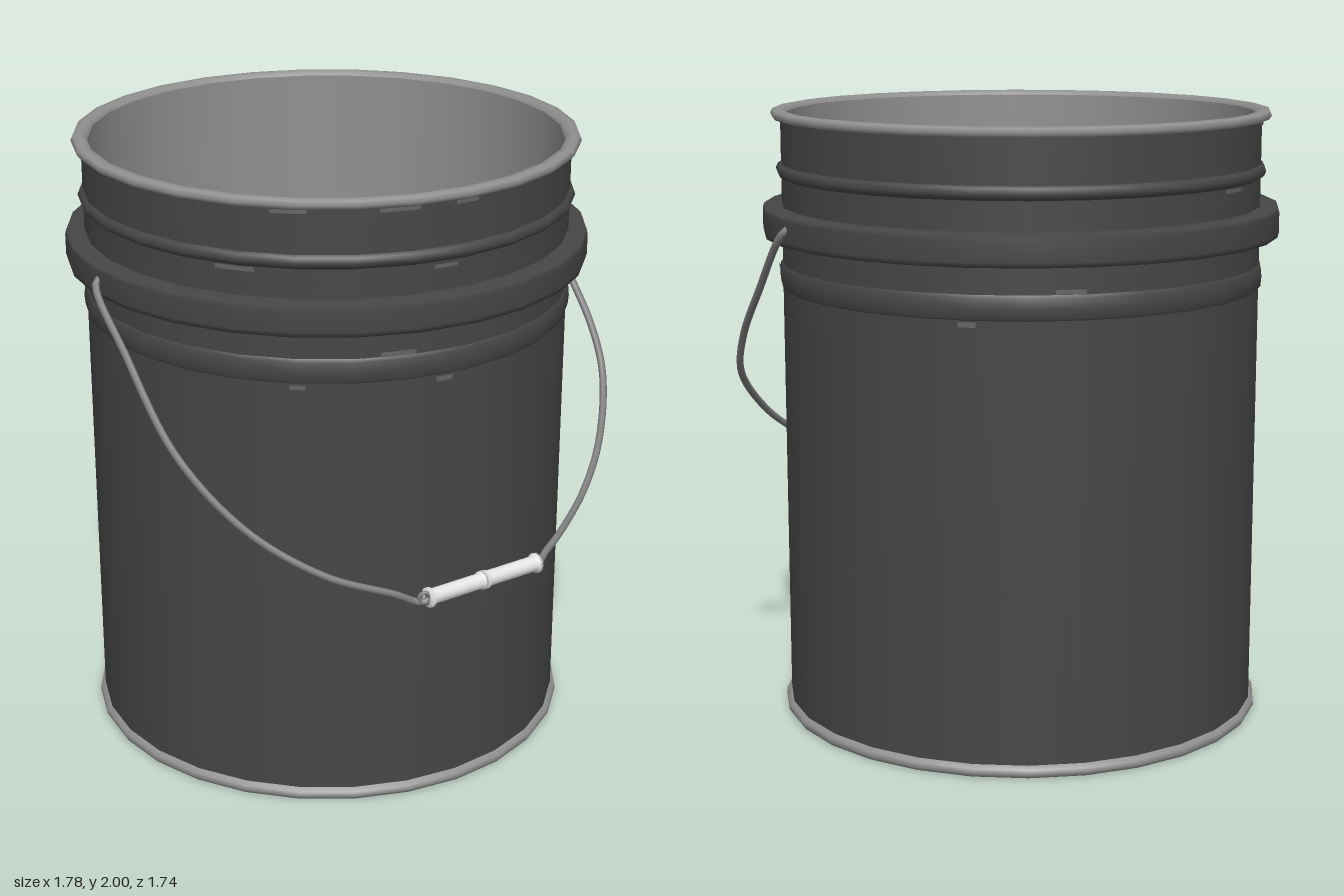
import * as THREE from 'three';

const SIDES = 28;

function material(name, color, side = THREE.FrontSide) {
  const m = new THREE.MeshStandardMaterial({ color, side });
  m.name = name;
  return m;
}

export function createModel() {
  const model = new THREE.Group();
  model.name = 'bucket';
  const paint = material('dark paint', 0x464646);
  const steel = material('bare steel', 0x909090);
  const scuff = material('scuffed paint', 0x646464, THREE.DoubleSide);
  const wire = material('handle wire', 0x7c7c7c);
  const white = material('white grip', 0xe4e4e4);

  // The pail sits slightly off centre because the handle hangs to one side
  const pail = new THREE.Group();
  pail.name = 'pail';
  pail.position.set(-0.05, 0, -0.03);
  model.add(pail);

  // Surface of revolution from [radius, height] pairs
  const lathe = (name, mat, profile) => {
    const pts = profile.map(([r, y]) => new THREE.Vector2(r, y));
    const mesh = new THREE.Mesh(new THREE.LatheGeometry(pts, SIDES), mat);
    mesh.name = name;
    pail.add(mesh);
  };

  // Outer shell
  lathe('base', paint, [[0, 0.005], [0.785, 0.005]]);
  lathe('bottomLip', steel, [[0.775, 0], [0.79, 0.003], [0.797, 0.015], [0.795, 0.03], [0.78, 0.04]]);
  lathe('wall', paint, [[0.78, 0.035], [0.78, 1.43]]);
  lathe('lowerBead', paint, [[0.778, 1.425], [0.787, 1.435], [0.79, 1.465], [0.787, 1.495], [0.78, 1.505]]);
  lathe('lowerNeck', paint, [[0.78, 1.5], [0.78, 1.6]]);
  lathe('bailRing', paint, [[0.775, 1.593], [0.838, 1.594], [0.842, 1.61], [0.842, 1.675], [0.838, 1.69], [0.775, 1.692]]);
  lathe('upperNeck', paint, [[0.78, 1.69], [0.78, 1.8]]);
  lathe('upperBead', paint, [[0.778, 1.782], [0.79, 1.79], [0.797, 1.805], [0.79, 1.82], [0.778, 1.828]]);
  lathe('collar', paint, [[0.78, 1.82], [0.78, 1.975]]);

  // Rolled rim and bare interior
  lathe('rim', steel, [[0.778, 1.968], [0.802, 1.97], [0.811, 1.982], [0.805, 1.996], [0.785, 2], [0.765, 1.996], [0.758, 1.98]]);
  lathe('innerWall', steel, [[0.758, 1.985], [0.758, 0.04]]);
  lathe('floor', steel, [[0.76, 0.04], [0, 0.04]]);

  // Worn patches beside the bands: [angle, height, radius, arc, tall]
  [
    [-0.25, 1.957, 0.782, 0.14, 0.012], [0.17, 1.957, 0.782, 0.16, 0.012], [0.45, 1.957, 0.782, 0.1, 0.012],
    [-0.46, 1.775, 0.782, 0.16, 0.014], [0.36, 1.77, 0.782, 0.1, 0.012], [0.17, 1.514, 0.782, 0.14, 0.016],
    [0.36, 1.415, 0.782, 0.07, 0.016], [-0.22, 1.415, 0.782, 0.06, 0.014],
    [1.7, 1.498, 0.789, 0.1, 0.014], [1.5, 1.775, 0.782, 0.13, 0.012], [1.25, 1.957, 0.782, 0.15, 0.012],
    [2.9, 1.415, 0.782, 0.07, 0.016], [3.3, 1.514, 0.782, 0.12, 0.014], [4.1, 1.775, 0.782, 0.13, 0.012],
    [4.5, 1.957, 0.782, 0.15, 0.012],
  ].forEach(([angle, y, r, arc, tall]) => {
    const geo = new THREE.CylinderGeometry(r, r, tall, 4, 1, true, angle - arc / 2, arc);
    const patch = new THREE.Mesh(geo, scuff);
    patch.name = 'scuff';
    patch.position.y = y;
    pail.add(patch);
  });

  // Wire bail, hanging out over the front left
  const handle = new THREE.Group();
  handle.name = 'handle';
  model.add(handle);
  const tube = (name, pts, segments) => {
    const curve = new THREE.CatmullRomCurve3(pts.map((p) => new THREE.Vector3(...p)));
    const mesh = new THREE.Mesh(new THREE.TubeGeometry(curve, segments, 0.012, 8), wire);
    mesh.name = name;
    handle.add(mesh);
  };
  tube('bailRight', [
    [-0.77, 1.66, 0.34], [-0.80, 1.64, 0.365], [-0.72, 1.46, 0.52], [-0.58, 1.2, 0.72], [-0.38, 0.99, 0.82],
    [-0.15, 0.85, 0.86], [0.07, 0.765, 0.838], [0.13, 0.732, 0.825], [0.155, 0.73, 0.828], [0.18, 0.745, 0.825],
  ], 64);
  tube('bailLeft', [
    [0.53, 0.745, 0.63], [0.555, 0.73, 0.605], [0.58, 0.745, 0.565], [0.64, 0.78, 0.5], [0.75, 0.86, 0.35],
    [0.83, 0.97, 0.2], [0.88, 1.13, 0], [0.86, 1.26, -0.1], [0.79, 1.44, -0.26], [0.70, 1.64, -0.42], [0.67, 1.66, -0.41],
  ], 64);

  // Two-piece grip with flared ends
  const a = new THREE.Vector3(0.165, 0.745, 0.828);
  const b = new THREE.Vector3(0.545, 0.745, 0.625);
  const dir = b.clone().sub(a).normalize();
  const h = a.distanceTo(b) / 2;
  const half = [[0.012, 0], [0.032, 0], [0.032, 0.012], [0.025, 0.02], [0.025, h - 0.02], [0.03, h - 0.01], [0.03, h - 0.002], [0.012, h - 0.002]];
  const gripGeo = new THREE.LatheGeometry(half.map(([r, y]) => new THREE.Vector2(r, y)), 14);
  [[a, dir], [b, dir.clone().negate()]].forEach(([pos, d]) => {
    const grip = new THREE.Mesh(gripGeo, white);
    grip.name = 'grip';
    grip.position.copy(pos);
    grip.quaternion.setFromUnitVectors(new THREE.Vector3(0, 1, 0), d);
    handle.add(grip);
  });

  // Small curl of wire at the end of the grip
  const curl = new THREE.Mesh(new THREE.TorusGeometry(0.017, 0.007, 6, 14), wire);
  curl.name = 'wireCurl';
  curl.position.set(0.155, 0.748, 0.832);
  handle.add(curl);

  return model;
}
